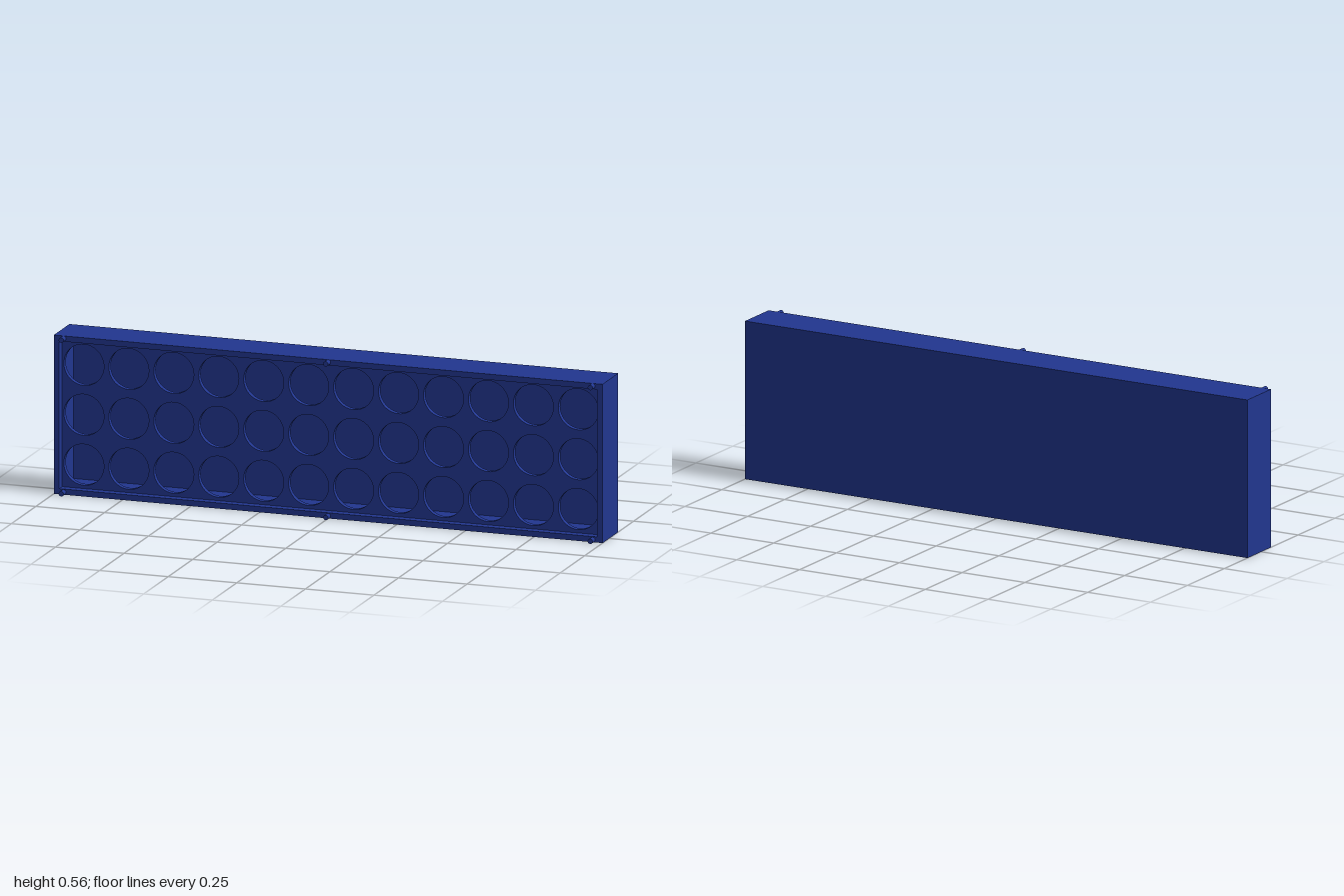
import * as THREE from 'three';

const W = 2, H = 0.563, BACK = -0.093, FRONT = 0.067, WALL = 0.02, FLOOR = 0.012;

// Rectangle outline centred on x = 0, inset from the outer edges
function outline(inset, Type) {
  const x = W / 2 - inset, y0 = inset, y1 = H - inset;
  return new Type([
    new THREE.Vector2(-x, y0), new THREE.Vector2(x, y0),
    new THREE.Vector2(x, y1), new THREE.Vector2(-x, y1),
  ]);
}

export function createModel() {
  const group = new THREE.Group();
  group.name = 'tray';
  const blue = new THREE.MeshStandardMaterial({ color: 0x21368f });
  blue.name = 'blue';

  const add = (name, geometry, x, y, z) => {
    const mesh = new THREE.Mesh(geometry, blue);
    mesh.name = name;
    mesh.position.set(x, y, z);
    group.add(mesh);
    return mesh;
  };
  const extrude = (shape, depth) =>
    new THREE.ExtrudeGeometry(shape, { depth, bevelEnabled: false, curveSegments: 24 });

  // Outer walls, open to the front
  const walls = outline(0, THREE.Shape);
  walls.holes.push(outline(WALL, THREE.Path));
  add('walls', extrude(walls, FRONT - BACK), 0, 0, BACK);

  // Closed back
  add('backPanel', new THREE.BoxGeometry(W - 2 * WALL, H - 2 * WALL, FLOOR), 0, H / 2, BACK + FLOOR / 2);

  // Recessed plate with 12 x 3 round holes
  const plate = outline(WALL, THREE.Shape);
  for (let row = 0; row < 3; row++) {
    for (let col = 0; col < 12; col++) {
      const hole = new THREE.Path();
      hole.absarc((col - 5.5) * 0.1638, H / 2 + (row - 1) * 0.177, 0.073, 0, Math.PI * 2, true);
      plate.holes.push(hole);
    }
  }
  add('holePlate', extrude(plate, 0.02), 0, 0, FRONT - 0.05);

  // Locating pegs on the front rim
  const pegRadius = 0.009, pegLength = 0.026;
  const pegGeometry = new THREE.CylinderGeometry(pegRadius, pegRadius, pegLength, 24).rotateX(Math.PI / 2);
  for (const x of [-0.964, 0, 0.964]) {
    for (const y of [pegRadius, H - pegRadius]) add('peg', pegGeometry, x, y, FRONT + pegLength / 2);
  }
  return group;
}
